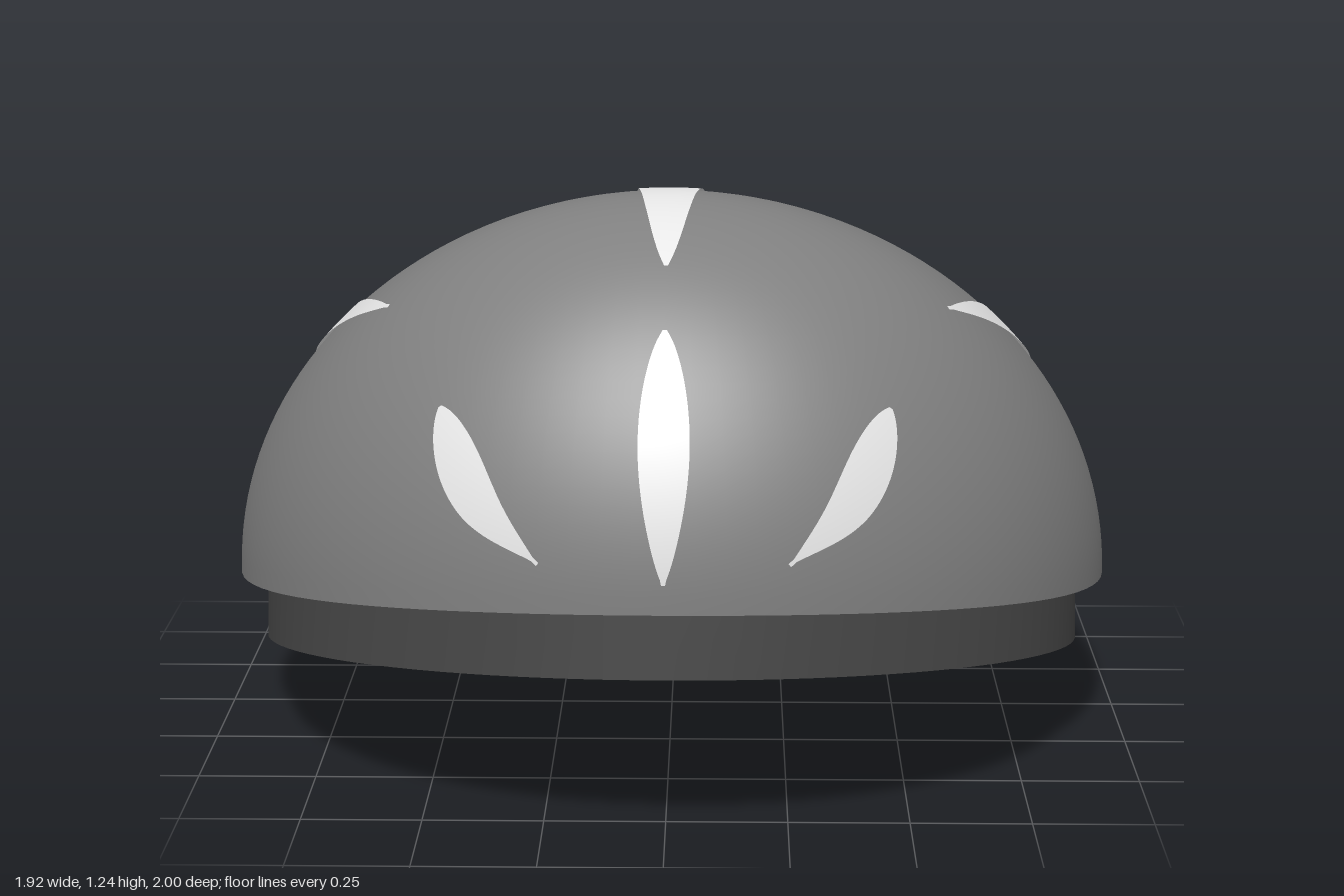
import * as THREE from 'three';

const shellMat = new THREE.MeshStandardMaterial({ color: 0x808080 });
shellMat.name = 'shell grey';
const baseMat = new THREE.MeshStandardMaterial({ color: 0x464646 });
baseMat.name = 'liner dark grey';
const ventMat = new THREE.MeshStandardMaterial({ color: 0xf0f0f0, side: THREE.DoubleSide });
ventMat.name = 'vent pale grey';

const SIDES = 96;
const V = (x, y, z) => new THREE.Vector3(x, y, z);

// Shell shape along its length: lower edge, crown line and half width
const rimY = z => z > -0.1
  ? 0.33 + 0.19 * ((z + 0.1) / 1.1) ** 1.4
  : 0.33 + 0.12 * ((-0.1 - z) / 0.9) ** 1.3;
const crownY = z => z > 0.37
  ? 0.52 + 0.715 * Math.sqrt(Math.max(0, 1 - ((z - 0.37) / 0.63) ** 2))
  : 0.45 + 0.785 * Math.max(0, 1 - ((0.37 - z) / 1.37) ** 1.55) ** 0.645;
const halfWidth = z => 0.96 * Math.sqrt(Math.max(0, 1 - z * z));

function shellHeight(x, z) {
  const w = halfWidth(z);
  const u = w < 1e-5 ? 1 : Math.min(1, Math.abs(x) / w);
  return rimY(z) + (crownY(z) - rimY(z)) * Math.sqrt(1 - u * u);
}

const isInside = p => Math.abs(p.z) < 1 && Math.abs(p.x) < halfWidth(p.z) && p.y < shellHeight(p.x, p.z);

// Move a point onto the shell along the ray from a point inside it
function snap(p) {
  const origin = V(0, 0.5, 0);
  const dir = p.clone().sub(origin).normalize();
  let near = 0, far = 2;
  for (let i = 0; i < 36; i++) {
    const mid = (near + far) / 2;
    if (isInside(origin.clone().addScaledVector(dir, mid))) near = mid;
    else far = mid;
  }
  return origin.addScaledVector(dir, near);
}

// Outward normal at a point of the shell, from two nearby surface points
function shellNormal(p) {
  const out = p.clone().sub(V(0, 0.5, 0)).normalize();
  const side = V(out.z, 0, -out.x);
  if (side.lengthSq() < 1e-6) side.set(1, 0, 0);
  side.normalize();
  const up = out.clone().cross(side);
  const slope = d => snap(p.clone().addScaledVector(d, 0.002)).sub(snap(p.clone().addScaledVector(d, -0.002)));
  return slope(side).cross(slope(up)).normalize();
}

// Skin between rows of points
function skin(rows, closed) {
  const n = rows[0].length, index = [];
  for (let r = 0; r < rows.length - 1; r++) {
    for (let i = 0; i < (closed ? n : n - 1); i++) {
      const j = (i + 1) % n, a = r * n + i, b = r * n + j;
      index.push(a, b, b + n, a, b + n, a + n);
    }
  }
  const geo = new THREE.BufferGeometry().setFromPoints(rows.flat());
  geo.setIndex(index);
  geo.computeVertexNormals();
  return geo;
}

const ring = fn => Array.from({ length: SIDES }, (_, i) => {
  const a = i / SIDES * Math.PI * 2;
  return fn(Math.sin(a), Math.cos(a));
});

// Slender patch that follows the shell along a path
function vent(points, width, skew) {
  const path = new THREE.CatmullRomCurve3(points.map(p => snap(V(...p))));
  const rows = [];
  for (let i = 0; i <= 48; i++) {
    const t = i / 48;
    const centre = snap(path.getPoint(t));
    const across = path.getTangent(t).cross(shellNormal(centre)).normalize();
    const w = Math.max(0.004, width * Math.max(0, Math.sin(Math.PI * t ** skew)) ** 0.65);
    const row = [];
    for (let k = -4; k <= 4; k++) {
      const p = snap(centre.clone().addScaledVector(across, w * k / 4));
      row.push(p.addScaledVector(shellNormal(p), 0.005));
    }
    rows.push(row);
  }
  return skin(rows, false);
}

export function createModel() {
  const model = new THREE.Group();
  model.name = 'helmet';
  const add = (name, geo, mat) => {
    const mesh = new THREE.Mesh(geo, mat);
    mesh.name = name;
    model.add(mesh);
  };

  // Domed shell, from the rim up to the crown
  const domeRows = [];
  for (let r = 0; r <= 40; r++) {
    const s = Math.cos(r / 40 * Math.PI / 2);
    domeRows.push(ring((x, z) => V(0.96 * s * x, r ? shellHeight(0.96 * s * x, s * z) : rimY(z), s * z)));
  }
  add('shell', skin(domeRows, true), shellMat);

  // Liner outlines: upper one under the shell, lower one on a tilted plane
  const upper = (x, z) => V(0.9 * x, rimY(z * 0.95), 0.0175 + 0.9325 * z);
  const lower = (x, z) => {
    const pz = 0.05 + 0.91 * z;
    return V(0.9 * x, 0.375 * (pz + 0.86) / 1.82, pz);
  };

  // Underside of the shell edge
  add('shellLip', skin([ring(upper), ring((x, z) => V(0.96 * x, rimY(z), z))], true), shellMat);

  // Liner wall and flat bottom
  add('linerWall', skin([ring(lower), ring(upper)], true), baseMat);
  add('linerBottom', skin([ring(() => V(0, 0.375 * 0.5, 0.05)), ring(lower)], true), baseMat);

  // Vents: one along the crown, one on the brow, mirrored pairs beside them
  add('crownVent', vent([[0, 1.15, 0.69], [0, 1.23, 0.35], [0, 1.19, 0], [0, 1.03, -0.36], [0, 0.8, -0.69]], 0.073, 1), ventMat);
  add('browVent', vent([[0, 0.58, 0.99], [0, 0.82, 0.94], [0, 1.05, 0.82]], 0.05, 1.15), ventMat);
  for (const [side, s] of [['left', 1], ['right', -1]]) {
    // The skew shifts the widest point toward the end of the path
    add(side + 'BrowVent', vent([[s * 0.24, 0.61, 0.95], [s * 0.36, 0.715, 0.89], [s * 0.45, 0.885, 0.79]], 0.05, 1.6), ventMat);
    add(side + 'SideVent', vent([[s * 0.58, 1.02, 0.47], [s * 0.7, 0.94, 0.2], [s * 0.755, 0.85, 0], [s * 0.79, 0.68, -0.32]], 0.05, 1.2), ventMat);
  }
  return model;
}
